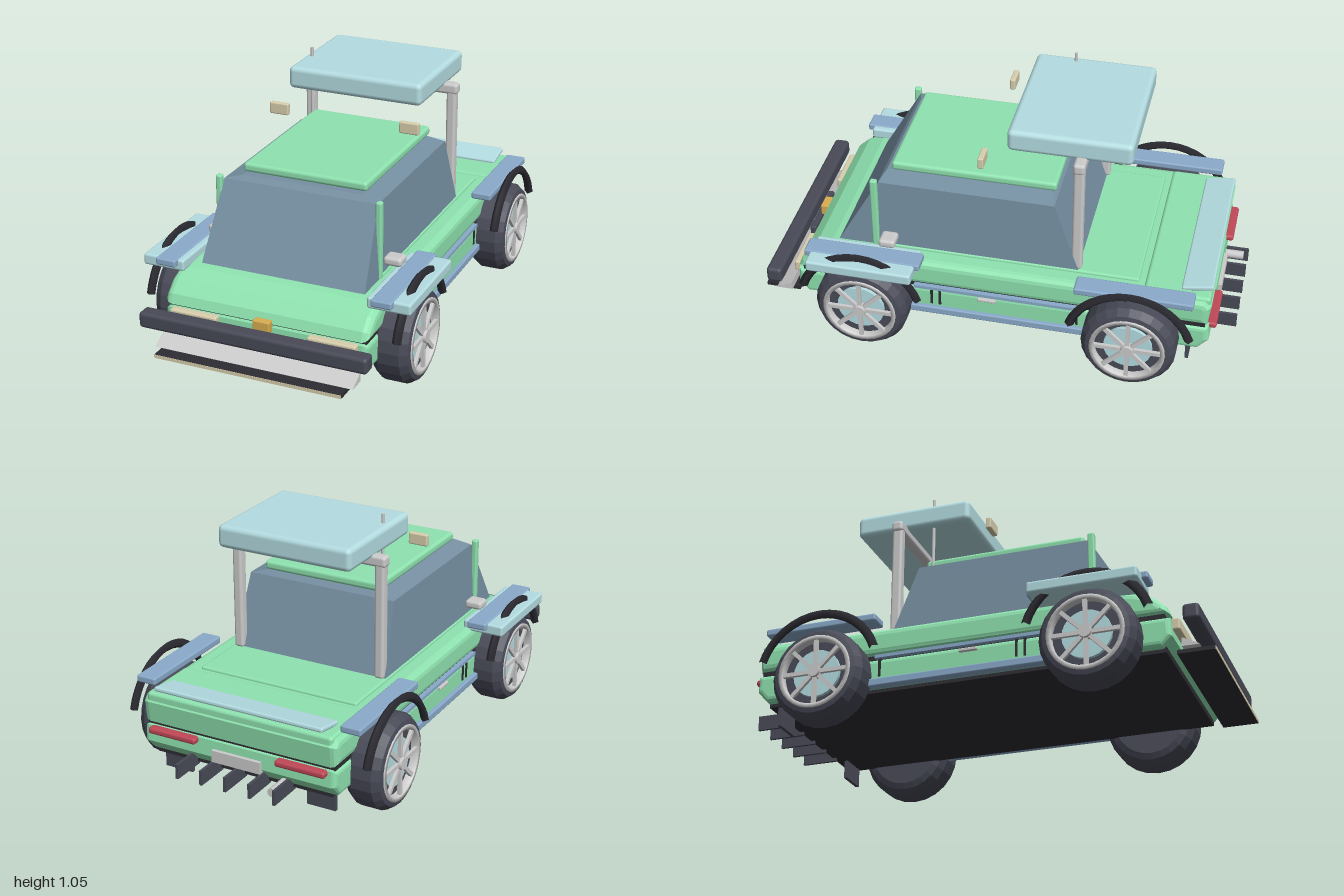
import * as THREE from 'three';
import { RoundedBoxGeometry } from 'three/addons/geometries/RoundedBoxGeometry.js';
import { ConvexGeometry } from 'three/addons/geometries/ConvexGeometry.js';

const paint = (color) => new THREE.MeshStandardMaterial({ color });
const M = {
  green: paint(0x8fe3b0), ice: paint(0xb4dde2), blue: paint(0x8aaaca),
  glass: paint(0x7690a2), dark: paint(0x484a57), black: paint(0x2c2c33),
  grey: paint(0xcccccc), beige: paint(0xd8cfae), red: paint(0xc04858), gold: paint(0xd8ac50),
};
M.glass.flatShading = true;

export function createModel() {
  const car = new THREE.Group();
  car.name = 'buggy';

  const add = (name, geo, mat, parent = car) => {
    const mesh = new THREE.Mesh(geo, mat);
    mesh.name = name;
    parent.add(mesh);
    return mesh;
  };
  // Box given by its limits on each axis, optionally with rounded edges
  const box = (name, mat, [x0, x1], [y0, y1], [z0, z1], r = 0) => {
    const s = [x1 - x0, y1 - y0, z1 - z0];
    const geo = r ? new RoundedBoxGeometry(...s, 2, r) : new THREE.BoxGeometry(...s);
    const mesh = add(name, geo, mat);
    mesh.position.set((x0 + x1) / 2, (y0 + y1) / 2, (z0 + z1) / 2);
    return mesh;
  };
  // The same box on both sides
  const pair = (name, mat, [x0, x1], y, z, r) => {
    box(name + 'Left', mat, [x0, x1], y, z, r);
    box(name + 'Right', mat, [-x1, -x0], y, z, r);
  };
  // Side outline (z, y) extruded across the width with bevelled edges
  const profile = (name, mat, pts, width, bevel) => {
    const shape = new THREE.Shape(pts.map(([z, y]) => new THREE.Vector2(z, y)));
    const geo = new THREE.ExtrudeGeometry(shape, {
      depth: width - 2 * bevel, bevelEnabled: bevel > 0, bevelSize: bevel,
      bevelThickness: bevel, bevelOffset: -bevel, bevelSegments: 3,
    });
    geo.translate(0, 0, bevel - width / 2).rotateY(-Math.PI / 2);
    return add(name, geo, mat);
  };

  // Body shells
  profile('lowerBody', M.green, [[0.8, 0.15], [0.84, 0.19], [0.835, 0.268], [-0.9, 0.268],
    [-0.905, 0.2], [-0.86, 0.15]], 0.87, 0.02);
  profile('upperBody', M.green, [[0.835, 0.282], [0.82, 0.32], [0.77, 0.365], [0.7, 0.39], [0.62, 0.4],
    [-0.88, 0.4], [-0.905, 0.37], [-0.895, 0.282]], 0.88, 0.03);
  box('bodySeam', M.black, [-0.425, 0.425], [0.25, 0.3], [-0.885, 0.815]);
  box('underside', M.black, [-0.4, 0.4], [0.135, 0.16], [-0.86, 0.81]);
  box('cabinBase', M.green, [-0.36, 0.36], [0.38, 0.412], [-0.6, 0.5], 0.01);
  box('rearDeck', M.green, [-0.42, 0.42], [0.36, 0.41], [-0.9, -0.625], 0.015);
  const lip = box('rearLip', M.ice, [-0.38, 0.38], [0.412, 0.432], [-0.905, -0.775], 0.008);
  lip.rotation.x = 0.17;

  // Glass cabin and roof
  const corners = [];
  for (const s of [-1, 1]) {
    for (const [x, y, z] of [[0.355, 0.4, 0.67], [0.355, 0.4, -0.35], [0.335, 0.705, 0.495],
      [0.335, 0.705, -0.24], [0.26, 0.725, 0.475], [0.26, 0.725, -0.22]]) {
      corners.push(new THREE.Vector3(s * x, y, z));
    }
  }
  add('cabinGlass', new ConvexGeometry(corners), M.glass);
  box('roof', M.green, [-0.27, 0.27], [0.728, 0.767], [-0.235, 0.455], 0.014);
  pair('windshieldPost', M.green, [0.335, 0.361], [0.39, 0.725], [0.495, 0.525], 0.008);
  pair('mirror', M.grey, [0.35, 0.428], [0.44, 0.477], [0.41, 0.48], 0.014);
  pair('roofLamp', M.beige, [0.25, 0.335], [0.84, 0.89], [0.052, 0.076], 0.006);

  // Roll bar, overhead panel and antenna
  pair('rollBarUpright', M.grey, [0.308, 0.35], [0.41, 0.92], [-0.36, -0.315], 0.012);
  box('rollBarCross', M.grey, [-0.357, 0.357], [0.888, 0.936], [-0.362, -0.313], 0.014);
  box('overheadPanel', M.ice, [-0.3, 0.3], [0.92, 1.016], [-0.542, -0.035], 0.022);
  const antenna = add('antenna', new THREE.CylinderGeometry(0.007, 0.007, 0.32, 10), M.grey);
  antenna.position.set(-0.266, 0.895, -0.205);

  // Sides: sill, trim, vents and door handles
  pair('sill', M.blue, [0.41, 0.452], [0.145, 0.178], [-0.42, 0.36], 0.006);
  pair('sideTrim', M.blue, [0.42, 0.446], [0.268, 0.282], [-0.38, 0.33]);
  for (const z of [0.255, 0.22, -0.36]) pair('sideVent', M.black, [0.42, 0.44], [0.19, 0.265], [z - 0.005, z + 0.005]);
  pair('doorHandle', M.grey, [0.43, 0.447], [0.242, 0.256], [-0.02, 0.058], 0.004);

  // Fenders
  pair('frontFender', M.ice, [0.395, 0.577], [0.386, 0.434], [0.305, 0.75], 0.01);
  pair('frontFenderRail', M.blue, [0.42, 0.508], [0.408, 0.439], [0.285, 0.775], 0.008);
  pair('rearFenderRail', M.blue, [0.42, 0.508], [0.408, 0.439], [-0.84, -0.355], 0.008);

  // Front end
  box('frontBumper', M.dark, [-0.487, 0.487], [0.22, 0.287], [0.895, 0.962], 0.015);
  profile('airDam', M.grey, [[0.875, 0.14], [0.945, 0.14], [0.93, 0.15], [0.875, 0.177]], 0.85, 0);
  box('splitter', M.black, [-0.4, 0.4], [0.122, 0.138], [0.85, 0.998]);
  box('splitterEdge', M.beige, [-0.4, 0.4], [0.123, 0.137], [0.996, 1]);
  box('frontPlateHolder', M.dark, [-0.135, 0.135], [0.19, 0.255], [0.858, 0.885], 0.006);
  box('frontPlate', M.grey, [-0.11, 0.11], [0.175, 0.235], [0.83, 0.86]);
  box('hoodBadge', M.gold, [-0.036, 0.036], [0.25, 0.3], [0.83, 0.865], 0.005);
  pair('headlamp', M.beige, [0.195, 0.4], [0.225, 0.275], [0.83, 0.866], 0.008);

  // Rear end
  pair('tailLamp', M.red, [0.18, 0.4], [0.243, 0.27], [-0.93, -0.89], 0.01);
  box('rearPlate', M.grey, [-0.11, 0.11], [0.185, 0.235], [-0.918, -0.895]);
  for (let i = -2; i <= 2; i++) {
    box('diffuserFin', M.dark, [i * 0.11 - 0.006, i * 0.11 + 0.006], [0.12, 0.182], [-1, -0.845]);
  }
  pair('mudFlap', M.dark, [0.265, 0.392], [0.055, 0.165], [-0.825, -0.81]);
  const exhaust = add('exhaustPipe', new THREE.CylinderGeometry(0.019, 0.019, 0.12, 12), M.grey);
  exhaust.rotation.x = Math.PI / 2;
  exhaust.position.set(-0.2, 0.16, -0.92);

  // Wheels: the axle runs along local y, outer face at +y
  const tyreMat = M.dark.clone();
  tyreMat.flatShading = true;
  const tyreGeo = new THREE.LatheGeometry([[0.02, -0.085], [0.15, -0.085], [0.175, -0.075], [0.196, -0.045],
    [0.196, 0.045], [0.175, 0.075], [0.155, 0.08], [0.145, 0.045], [0, 0.045]]
    .map(([r, y]) => new THREE.Vector2(r, y)), 24);
  const rimGeo = new THREE.LatheGeometry([[0.138, 0.05], [0.138, 0.083], [0.156, 0.083], [0.156, 0.06]]
    .map(([r, y]) => new THREE.Vector2(r, y)).reverse(), 32);
  const rimMat = M.grey.clone();
  rimMat.side = THREE.DoubleSide;
  const archGeo = new THREE.TorusGeometry(0.256, 0.019, 4, 16, Math.PI * 0.81);
  archGeo.rotateZ(Math.PI * 0.095).rotateY(Math.PI / 2);

  for (const side of [1, -1]) {
    for (const [end, z] of [['front', 0.535], ['rear', -0.59]]) {
      const wheel = new THREE.Group();
      wheel.name = end + 'Wheel' + (side > 0 ? 'Left' : 'Right');
      wheel.position.set(side * 0.477, 0.196, z);
      wheel.rotation.z = -side * Math.PI / 2;
      car.add(wheel);
      add('tyre', tyreGeo, tyreMat, wheel);
      add('rim', rimGeo, rimMat, wheel);
      add('brakeDisc', new THREE.CylinderGeometry(0.1, 0.1, 0.02, 24), M.ice, wheel).position.y = 0.05;
      add('hub', new THREE.CylinderGeometry(0.025, 0.03, 0.04, 16), M.grey, wheel).position.y = 0.07;
      for (let i = 0; i < 8; i++) {
        const spoke = add('spoke', new THREE.BoxGeometry(0.13, 0.014, 0.017).translate(0.078, 0.072, 0), M.grey, wheel);
        spoke.rotation.y = i * Math.PI / 4;
      }
      // Arch guard over the wheel
      add(end + 'Arch', archGeo, M.black).position.set(side * 0.533, 0.2, z);
    }
  }
  return car;
}
